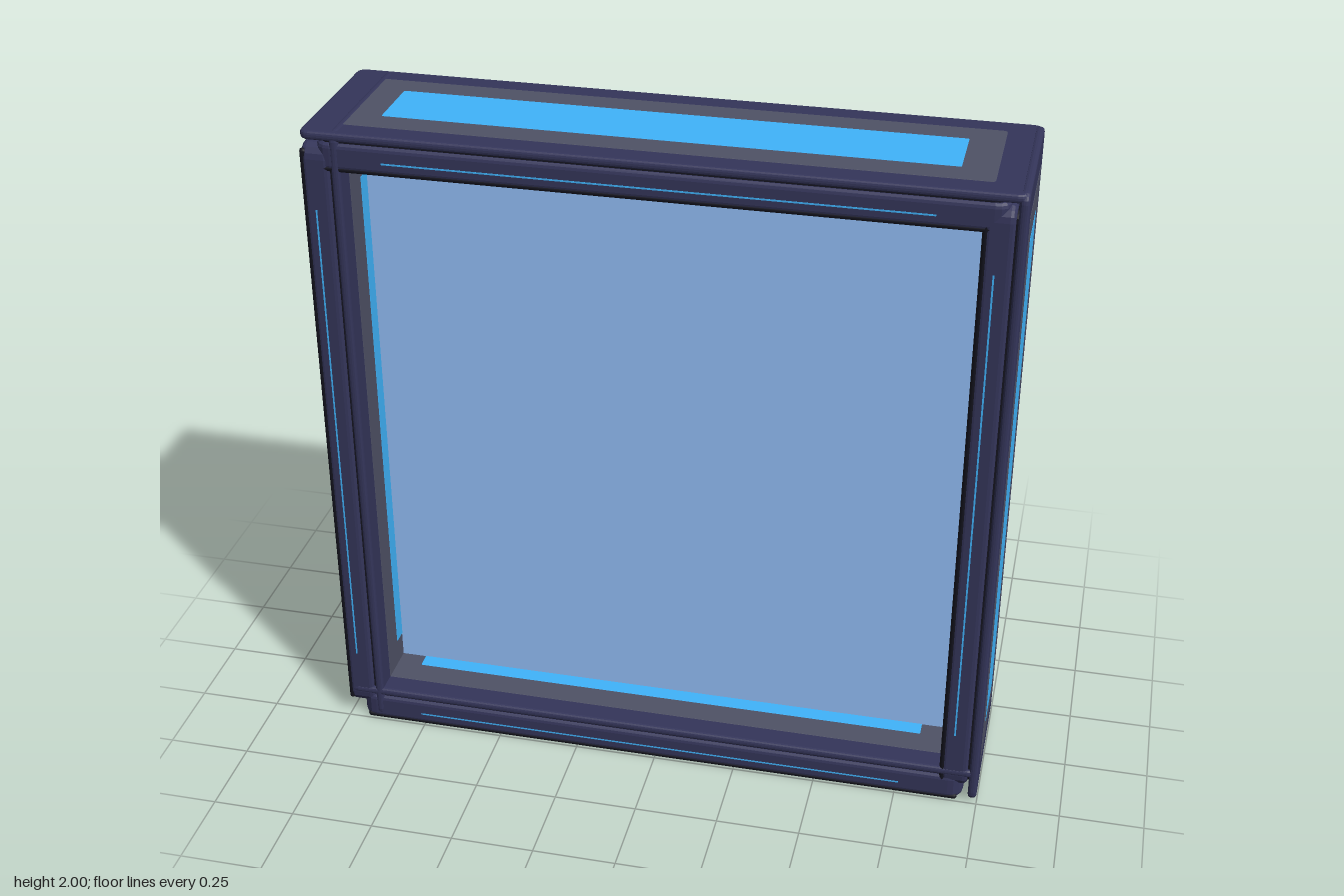
import * as THREE from 'three';

const mat = (color) => new THREE.MeshStandardMaterial({ color });

// Flat slab with rounded corners and bevelled rims, spanning y = top - thick .. top
function slab(name, halfLen, halfWid, top, thick, radius, bevel, material) {
  const a = halfLen - bevel, b = halfWid - bevel, r = radius;
  const s = new THREE.Shape();
  s.moveTo(-a + r, -b);
  s.lineTo(a - r, -b);
  s.quadraticCurveTo(a, -b, a, -b + r);
  s.lineTo(a, b - r);
  s.quadraticCurveTo(a, b, a - r, b);
  s.lineTo(-a + r, b);
  s.quadraticCurveTo(-a, b, -a, b - r);
  s.lineTo(-a, -b + r);
  s.quadraticCurveTo(-a, -b, -a + r, -b);
  const geo = new THREE.ExtrudeGeometry(s, {
    depth: thick - 2 * bevel, bevelEnabled: true, bevelThickness: bevel,
    bevelSize: bevel, bevelSegments: 3, curveSegments: 4,
  });
  geo.rotateX(-Math.PI / 2);
  geo.translate(0, top - thick + bevel, 0);
  const mesh = new THREE.Mesh(geo, material);
  mesh.name = name;
  return mesh;
}

export function createModel() {
  const navy = mat(0x34355a), dark = mat(0x14141f), grey = mat(0x4f5266);
  const blue = mat(0x40b4fb), glass = mat(0x94c0f9);
  const model = new THREE.Group();
  model.name = 'panelFrame';

  // One beam, lit face towards +y at y = 0, long axis along x
  function beam(name) {
    const g = new THREE.Group();
    g.name = name;
    g.add(
      slab('flange', 0.996, 0.248, -0.002, 0.026, 0.02, 0.01, navy),
      slab('seam', 0.94, 0.236, -0.024, 0.014, 0.03, 0.003, dark),
      slab('body', 0.955, 0.246, -0.032, 0.084, 0.03, 0.016, navy),
      slab('facePlate', 0.902, 0.178, -0.001, 0.012, 0.012, 0.001, grey),
      slab('lightPanel', 0.805, 0.098, 0, 0.012, 0.004, 0.001, blue),
    );
    for (const side of [-1, 1]) {
      // Thin glowing line along each edge
      const line = new THREE.Mesh(new THREE.BoxGeometry(1.52, 0.005, 0.004), blue);
      line.name = 'edgeLight';
      line.position.set(0, -0.08, side * 0.2445);
      // Dark rail along each rear edge
      const rail = new THREE.Mesh(new THREE.CapsuleGeometry(0.01, 1.86, 3, 8), dark);
      rail.name = 'rearRail';
      rail.rotation.z = Math.PI / 2;
      rail.position.set(0, -0.109, side * 0.236);
      g.add(line, rail);
    }
    model.add(g);
    return g;
  }

  // Horizontal beams face up, upright beams face +x
  beam('topBeam').position.set(0, 2, 0);
  beam('bottomBeam').position.set(0, 0.12, 0);
  for (const [name, x] of [['leftBeam', 1], ['rightBeam', -0.88]]) {
    const b = beam(name);
    b.rotation.z = -Math.PI / 2;
    b.position.set(x, 1.004, 0);
  }

  // Thick pane filling the opening
  const pane = new THREE.Mesh(new THREE.BoxGeometry(1.78, 1.78, 0.1), glass);
  pane.name = 'pane';
  pane.position.y = 1.002;
  model.add(pane);

  return model;
}
